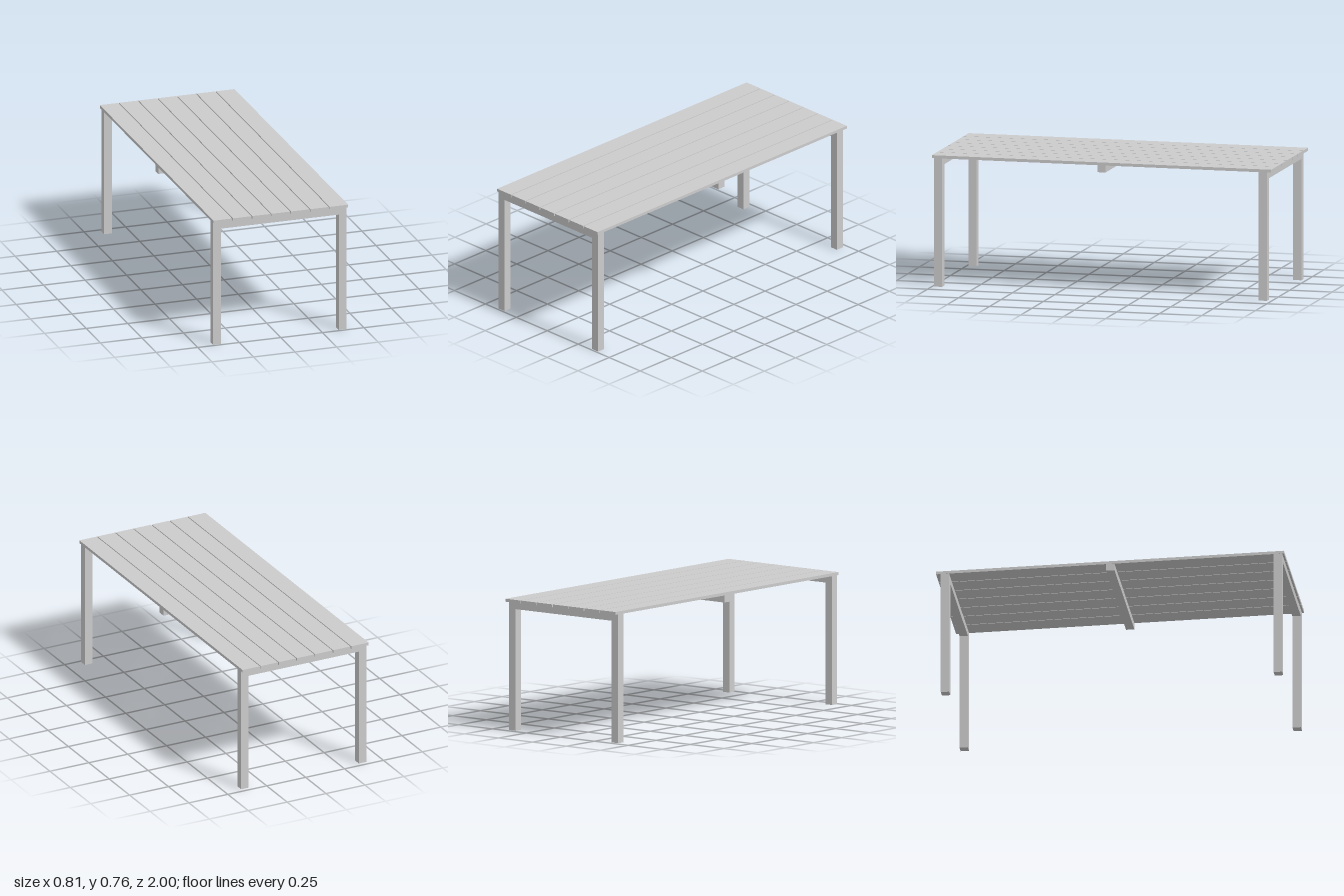
import * as THREE from 'three';

const material = new THREE.MeshStandardMaterial({ color: 0xcccccc });

const BAR = 0.048;        // square section of legs and rails
const FRAME_TOP = 0.748;  // rails are let slightly into the planks
const LEFT = -0.404, RIGHT = 0.4;

function addMesh(parent, name, geometry, x = 0, y = 0, z = 0) {
  const mesh = new THREE.Mesh(geometry, material);
  mesh.name = name;
  mesh.position.set(x, y, z);
  parent.add(mesh);
}

// Two legs joined by a top rail, as one portal
function portalGeometry() {
  const inner = FRAME_TOP - BAR;
  const shape = new THREE.Shape([
    [LEFT, 0], [LEFT + BAR, 0], [LEFT + BAR, inner], [RIGHT - BAR, inner],
    [RIGHT - BAR, 0], [RIGHT, 0], [RIGHT, FRAME_TOP], [LEFT, FRAME_TOP],
  ].map(([x, y]) => new THREE.Vector2(x, y)));
  return new THREE.ExtrudeGeometry(shape, { depth: BAR, bevelEnabled: false });
}

export function createModel() {
  const table = new THREE.Group();
  table.name = 'slattedTable';

  // Table top: seven planks with narrow gaps
  const planks = 7, width = 0.111, pitch = 0.1165;
  const plank = new THREE.BoxGeometry(width, 0.017, 2);
  for (let i = 0; i < planks; i++) {
    addMesh(table, `plank${i + 1}`, plank, (i - (planks - 1) / 2) * pitch, 0.7495, 0);
  }

  // End frames
  const portal = portalGeometry();
  addMesh(table, 'frontLegFrame', portal, 0, 0, 0.941);
  addMesh(table, 'backLegFrame', portal, 0, 0, -0.973);

  // Middle cross rail under the planks
  addMesh(table, 'middleRail', new THREE.BoxGeometry(RIGHT - LEFT, BAR, BAR),
    (LEFT + RIGHT) / 2, FRAME_TOP - BAR / 2, 0.002);

  return table;
}
